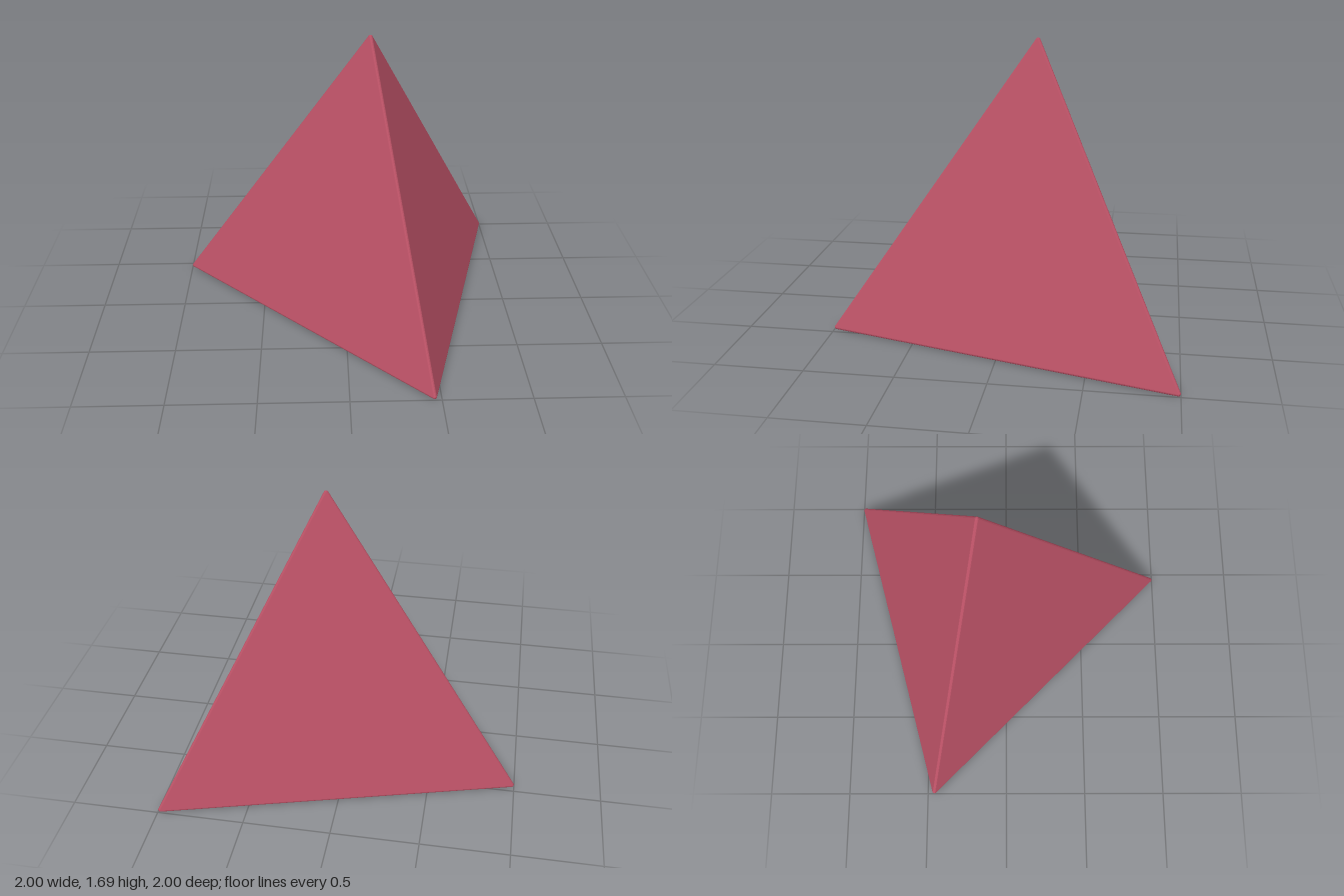
import * as THREE from 'three';
import { ConvexGeometry } from 'three/addons/geometries/ConvexGeometry.js';

const RADIUS = 0.012; // edge rounding
const STEPS = 4;      // facets across each rounded edge

// Centres of the rounded corners
const corners = [
  new THREE.Vector3(-0.988, 0.028, -0.46),
  new THREE.Vector3(0.46, 0.028, 0.988),
  new THREE.Vector3(0.988, 0.028, -0.988),
  new THREE.Vector3(0.153, 1.697, -0.153),
];

// Outward normal of the face opposite corner i
function faceNormal(i) {
  const [a, b, c] = corners.filter((_, k) => k !== i);
  const n = new THREE.Plane().setFromCoplanarPoints(a, b, c).normal;
  return n.dot(corners[i].clone().sub(a)) > 0 ? n.negate() : n;
}

// Patch of a small sphere between the three faces that meet at a corner
function cornerPatch(i, normals) {
  const [a, b, c] = normals.filter((_, k) => k !== i);
  const points = [];
  for (let u = 0; u <= STEPS; u++) {
    for (let v = 0; v <= STEPS - u; v++) {
      const direction = new THREE.Vector3()
        .addScaledVector(a, u)
        .addScaledVector(b, v)
        .addScaledVector(c, STEPS - u - v)
        .normalize();
      points.push(direction.multiplyScalar(RADIUS).add(corners[i]));
    }
  }
  return points;
}

export function createModel() {
  const group = new THREE.Group();
  group.name = 'fourSidedDie';

  // Four-sided body with finely rounded edges and corners
  const normals = corners.map((_, i) => faceNormal(i));
  const points = corners.flatMap((_, i) => cornerPatch(i, normals));
  const body = new THREE.Mesh(
    new ConvexGeometry(points),
    new THREE.MeshStandardMaterial({ color: 0xb85064 }),
  );
  body.name = 'dieBody';
  group.add(body);

  return group;
}
